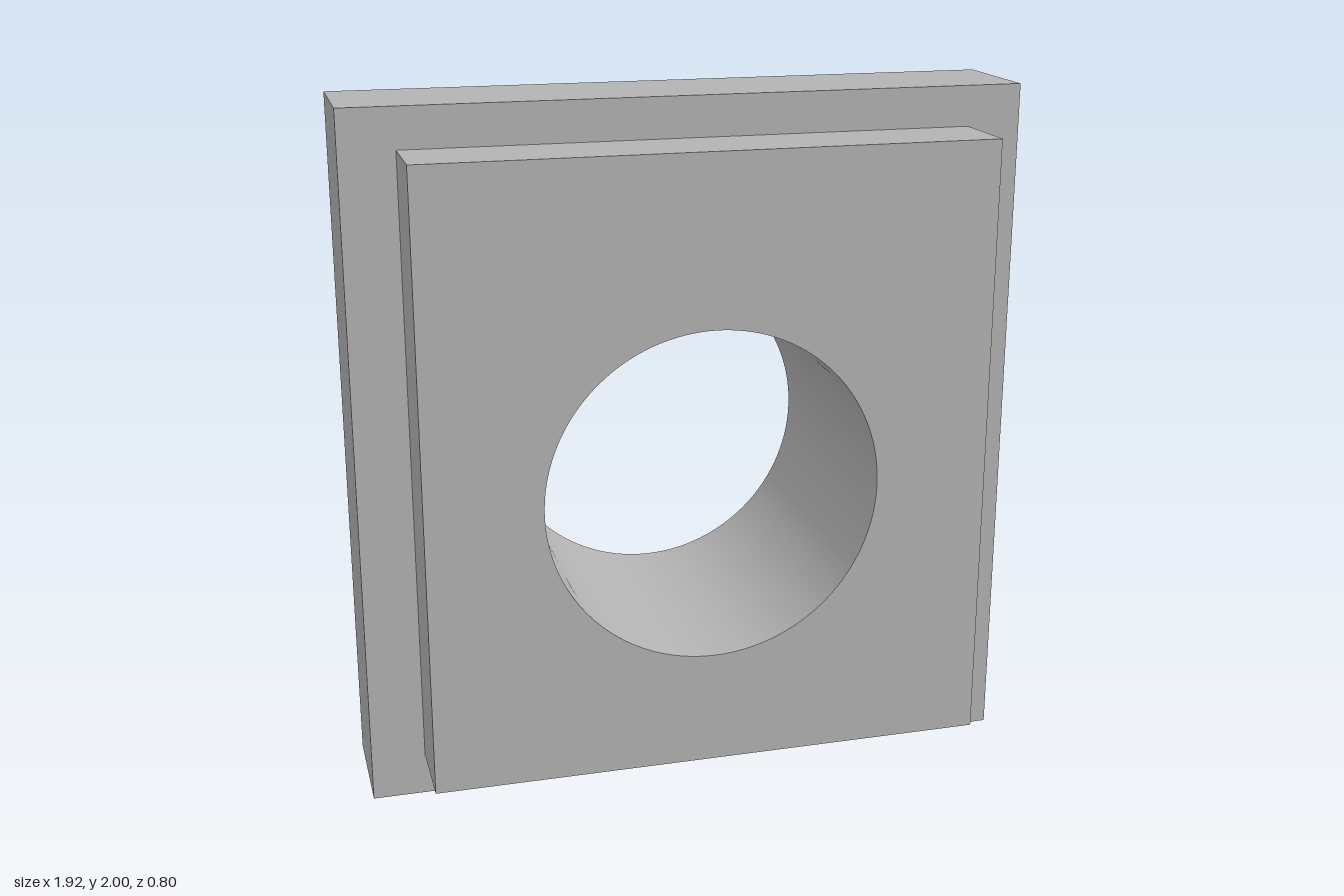
import * as THREE from 'three';
import { toCreasedNormals } from 'three/addons/utils/BufferGeometryUtils.js';

const HOLE_Y = 0.925;
const HOLE_RADIUS = 0.478;

// Rectangular slab from z0 to z1, pierced by the shared round bore
function slab(name, halfWidth, y0, y1, z0, z1, material) {
  const shape = new THREE.Shape([
    new THREE.Vector2(-halfWidth, y0),
    new THREE.Vector2(halfWidth, y0),
    new THREE.Vector2(halfWidth, y1),
    new THREE.Vector2(-halfWidth, y1),
  ]);
  const hole = new THREE.Path();
  hole.absarc(0, HOLE_Y, HOLE_RADIUS, 0, Math.PI * 2, true);
  shape.holes.push(hole);

  const geometry = new THREE.ExtrudeGeometry(shape, {
    depth: z1 - z0,
    bevelEnabled: false,
    curveSegments: 72,
  });
  geometry.translate(0, 0, z0);
  const mesh = new THREE.Mesh(toCreasedNormals(geometry, Math.PI / 6), material);
  mesh.name = name;
  return mesh;
}

export function createModel() {
  const group = new THREE.Group();
  group.name = 'boredBlock';
  const grey = new THREE.MeshStandardMaterial({ color: 0xb3b3b3 });
  grey.name = 'grey';

  // Wide flange in the middle, with a smaller raised pad on each face
  group.add(
    slab('middleFlange', 0.96, 0, 2, -0.168, 0.168, grey),
    slab('frontPad', 0.806, 0.12, 1.885, 0.168, 0.4, grey),
    slab('backPad', 0.806, 0.12, 1.885, -0.4, -0.168, grey),
  );
  return group;
}
